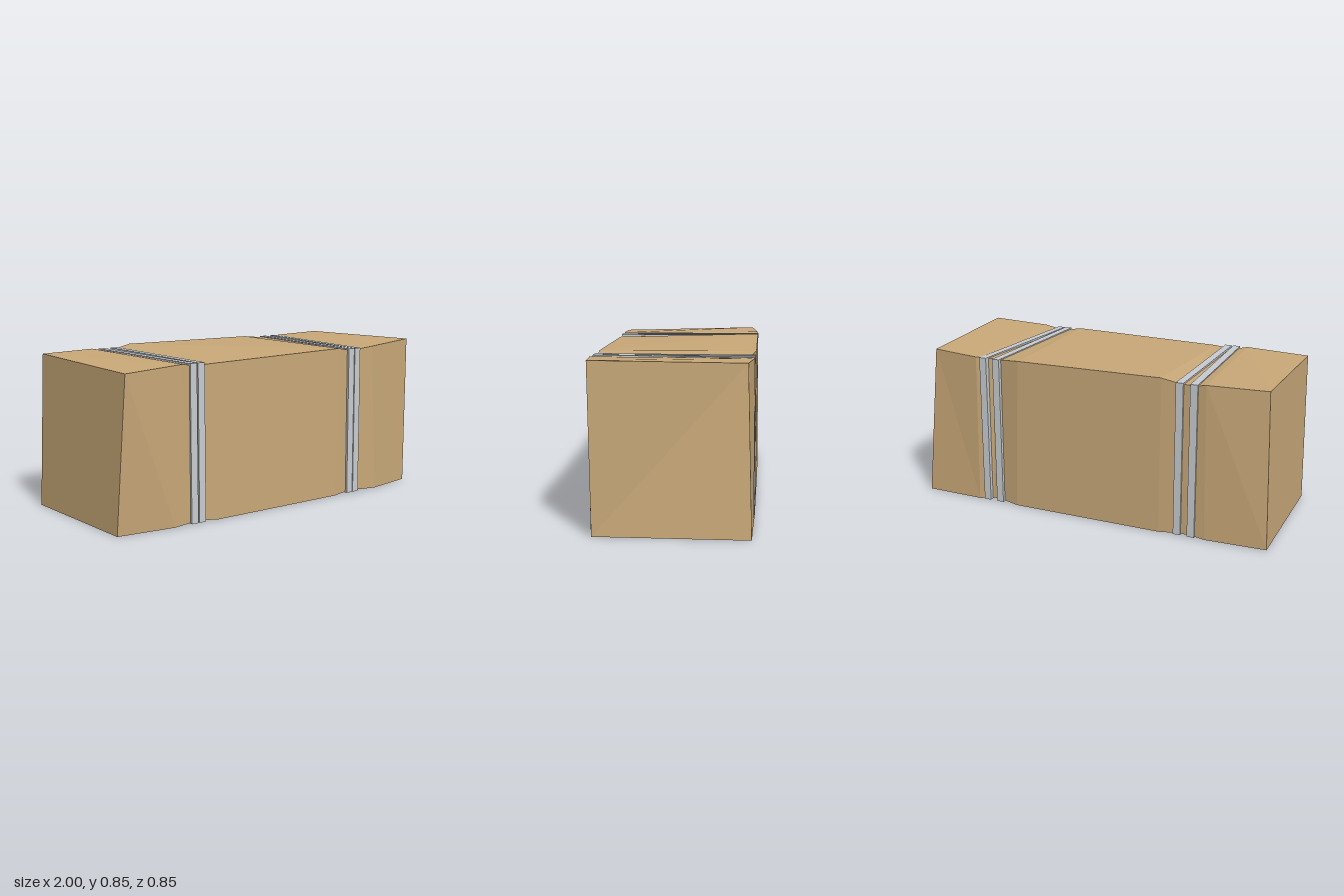
import * as THREE from 'three';

// Skin a run of four-cornered cross-sections, closed at both ends, with flat faces
function loft(sections) {
  const pos = [];
  const tri = (...pts) => pts.forEach((p) => pos.push(...p));
  for (let i = 0; i < sections.length - 1; i++) {
    const s = sections[i], t = sections[i + 1];
    for (let j = 0; j < 4; j++) {
      const k = (j + 1) % 4;
      tri(s[j], s[k], t[k]);
      tri(s[j], t[k], t[j]);
    }
  }
  const a = sections[0], b = sections[sections.length - 1];
  tri(a[0], a[2], a[1]);
  tri(a[0], a[3], a[2]);
  tri(b[0], b[1], b[2]);
  tri(b[0], b[2], b[3]);
  const geo = new THREE.BufferGeometry();
  geo.setAttribute('position', new THREE.Float32BufferAttribute(pos, 3));
  geo.computeVertexNormals();
  return geo;
}

export function createModel() {
  const group = new THREE.Group();
  const straw = new THREE.MeshStandardMaterial({ name: 'straw', color: 0xc8a878, flatShading: true });
  const band = new THREE.MeshStandardMaterial({ name: 'paleBand', color: 0xc8ccd0, flatShading: true });

  const add = (name, geo, mat) => {
    const mesh = new THREE.Mesh(geo, mat);
    mesh.name = name;
    group.add(mesh);
  };

  // Bale: corners run front bottom, back bottom, back top, front top
  add('bale', loft([
    [[-0.975, 0, 0.36], [-1, 0, -0.405], [-0.975, 0.825, -0.38], [-0.95, 0.805, 0.42]],
    [[-0.66, 0, 0.395], [-0.67, 0, -0.42], [-0.66, 0.827, -0.415], [-0.61, 0.822, 0.4]],
    [[-0.56, 0.008, 0.392], [-0.6, 0.008, -0.415], [-0.6, 0.815, -0.41], [-0.56, 0.813, 0.39]],
    [[-0.48, 0.008, 0.392], [-0.52, 0.008, -0.415], [-0.52, 0.817, -0.41], [-0.48, 0.81, 0.39]],
    [[-0.4, 0, 0.402], [-0.42, 0, -0.425], [-0.42, 0.838, -0.42], [-0.42, 0.813, 0.4]],
    [[0.41, 0, 0.4], [0.43, 0, -0.425], [0.4, 0.83, -0.422], [0.43, 0.828, 0.39]],
    [[0.5, 0.008, 0.392], [0.53, 0.008, -0.405], [0.53, 0.817, -0.395], [0.5, 0.815, 0.386]],
    [[0.57, 0.008, 0.392], [0.59, 0.008, -0.4], [0.57, 0.815, -0.38], [0.57, 0.813, 0.386]],
    [[0.72, 0, 0.4], [0.67, 0, -0.422], [0.66, 0.824, -0.418], [0.67, 0.825, 0.4]],
    [[1, 0, 0.348], [1, 0, -0.417], [0.93, 0.833, -0.392], [0.985, 0.845, 0.363]],
  ]), straw);

  // Straps: up the front, across the top and down the back
  const halfWidth = 0.02, depth = 0.03;
  const strap = (name, front, back) => {
    const path = [
      // x, outer y, outer z, inner y, inner z
      [front, 0.003, 0.405, 0.003, 0.405 - depth],
      [front, 0.822, 0.4, 0.822 - depth, 0.4 - depth],
      [back, 0.824, -0.42, 0.824 - depth, -0.42 + depth],
      [back, 0.003, -0.425, 0.003, -0.425 + depth],
    ];
    add(name, loft(path.map(([x, oy, oz, iy, iz]) => [
      [x - halfWidth, oy, oz], [x + halfWidth, oy, oz],
      [x + halfWidth, iy, iz], [x - halfWidth, iy, iz],
    ])), band);
  };
  strap('outerRightStrap', -0.545, -0.597);
  strap('innerRightStrap', -0.498, -0.52);
  strap('innerLeftStrap', 0.517, 0.537);
  strap('outerLeftStrap', 0.562, 0.617);

  return group;
}
